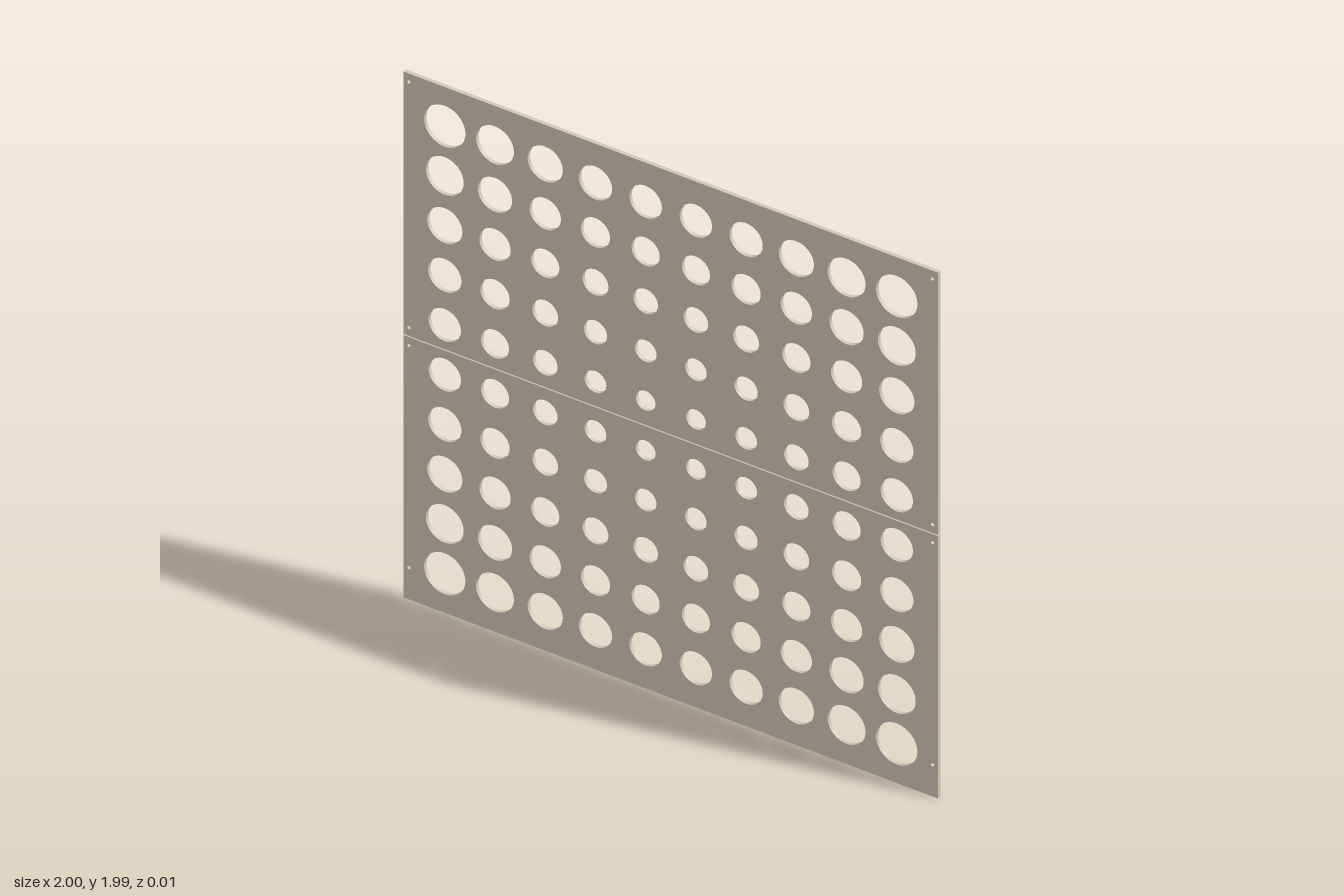
import * as THREE from 'three';

const W = 2, H = 1.988, T = 0.014, GAP = 0.004;
const N = 10, PITCH = 0.188, MID = H / 2;

const addHole = (shape, x, y, r) => {
  const hole = new THREE.Path();
  hole.absarc(x, y, r, 0, Math.PI * 2, true);
  shape.holes.push(hole);
};

// One flat sheet covering rows firstRow..firstRow+4 of the hole grid
function makePanel(name, y0, y1, firstRow, screwYs, material) {
  const shape = new THREE.Shape();
  shape.moveTo(-W / 2, y0);
  shape.lineTo(W / 2, y0);
  shape.lineTo(W / 2, y1);
  shape.lineTo(-W / 2, y1);
  shape.closePath();

  // Round holes that grow with distance from the centre of the screen
  for (let row = firstRow; row < firstRow + N / 2; row++) {
    for (let col = 0; col < N; col++) {
      const i = col - (N - 1) / 2, j = row - (N - 1) / 2;
      const r = 0.0355 + 0.0026 * Math.pow(Math.hypot(i, j), 1.5);
      addHole(shape, i * PITCH, MID + j * PITCH, r);
    }
  }
  // Small fixing holes along both side edges
  for (const y of screwYs) for (const s of [-1, 1]) addHole(shape, s * 0.98, y, 0.006);

  const geometry = new THREE.ExtrudeGeometry(shape, { depth: T, bevelEnabled: false, curveSegments: 40 });
  geometry.translate(0, 0, -T / 2);
  const mesh = new THREE.Mesh(geometry, material);
  mesh.name = name;
  return mesh;
}

export function createModel() {
  const group = new THREE.Group();
  group.name = 'perforatedScreen';
  const material = new THREE.MeshStandardMaterial({ color: 0xd0c8b8 });
  group.add(
    makePanel('lowerPanel', 0, MID - GAP / 2, 0, [0.12, 0.96], material),
    makePanel('upperPanel', MID + GAP / 2, H, N / 2, [1.028, 1.957], material)
  );
  return group;
}
